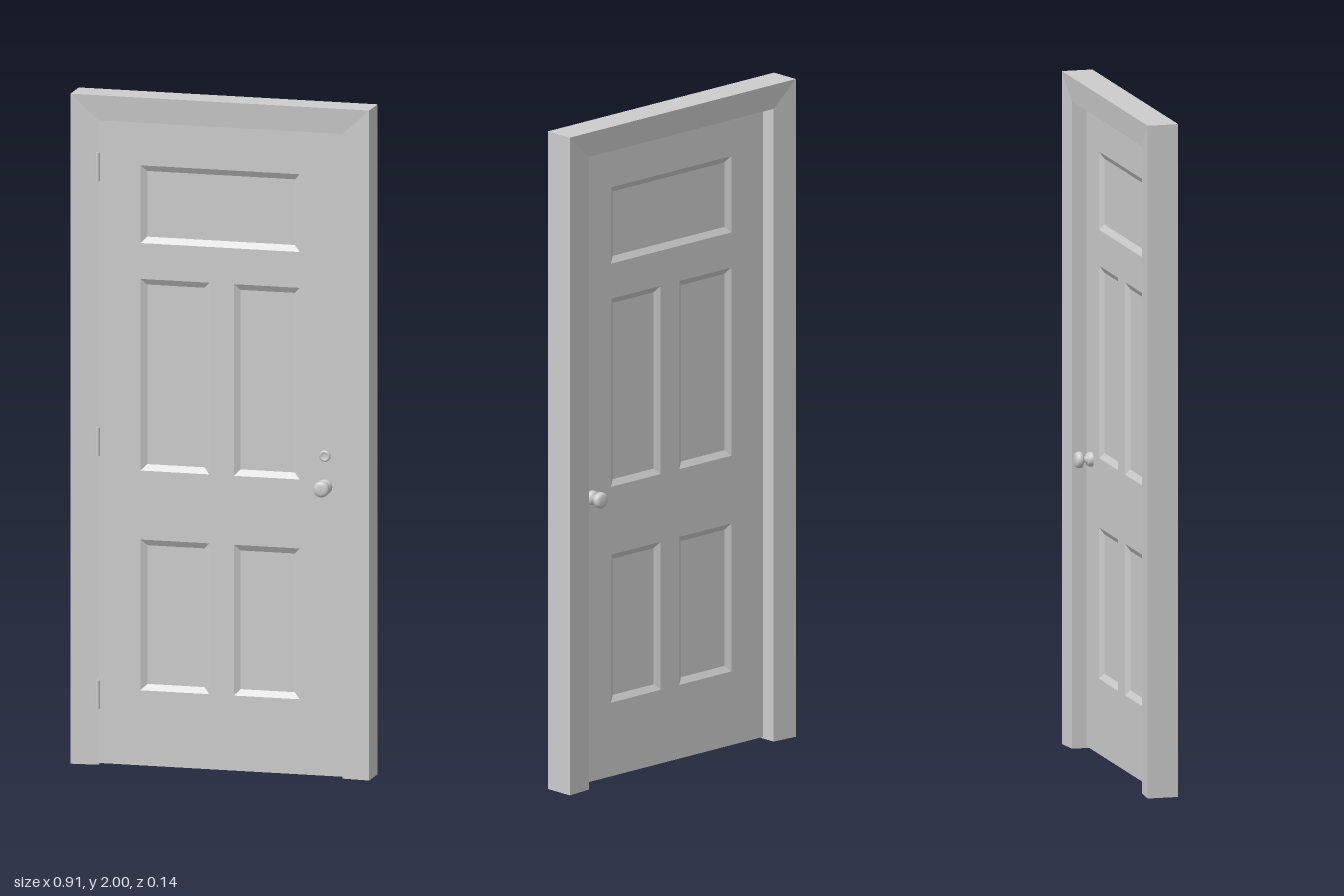
import * as THREE from 'three';

const paint = new THREE.MeshStandardMaterial({ color: 0xcccccc });
paint.name = 'pale grey paint';

const OPEN_X = 0.37, OPEN_Y = 1.924;          // door opening
const OUT_X = 0.453, OUT_Y = 2;               // outside of the frame
const DOOR_FRONT = 0.014, DOOR_BACK = -0.018;
const DOOR_BOTTOM = 0.005;
const BEVEL = 0.018, RECESS = 0.011;

function add(parent, name, geometry) {
  const mesh = new THREE.Mesh(geometry, paint);
  mesh.name = name;
  parent.add(mesh);
  return mesh;
}

// Flat-shaded geometry from a list of points, three per triangle
function fromTriangles(points) {
  const g = new THREE.BufferGeometry();
  g.setAttribute('position', new THREE.Float32BufferAttribute(points.flat(), 3));
  g.computeVertexNormals();
  return g;
}
const quad = (a, b, c, d) => [a, b, c, a, c, d];

// Mitred casing: a four-point section swept up, across and down
function frameGeometry() {
  const station = (side, top) => {
    const o = [side * OUT_X, top ? OUT_Y : 0], i = [side * OPEN_X, top ? OPEN_Y : 0];
    return [[...o, 0.023], [...i, 0.016], [...i, -0.063], [...o, -0.07]];
  };
  const s = [station(-1, false), station(-1, true), station(1, true), station(1, false)];
  const tris = [];
  for (let k = 0; k < 3; k++) {
    for (let i = 0; i < 4; i++) {
      const j = (i + 1) % 4;
      tris.push(...quad(s[k][i], s[k][j], s[k + 1][j], s[k + 1][i]));
    }
  }
  tris.push(...quad(...[...s[0]].reverse()), ...quad(...s[3]));   // feet
  return fromTriangles(tris);
}

// Counter-clockwise corners of a rectangle
const corners = (x0, x1, y0, y1, z) => [[x0, y0, z], [x1, y0, z], [x1, y1, z], [x0, y1, z]];

// Door face with sunk, bevelled panels
function faceTriangles() {
  const panels = [[-0.243, 0.24, 1.564, 1.796]];
  for (const [y0, y1] of [[0.885, 1.457], [0.229, 0.679]]) {
    panels.push([-0.243, -0.034, y0, y1], [0.04, 0.24, y0, y1]);
  }
  const toPoints = (c) => c.map(([x, y]) => new THREE.Vector2(x, y));
  const shape = new THREE.Shape(toPoints(corners(-OPEN_X, OPEN_X, DOOR_BOTTOM, OPEN_Y, 0)));
  const tris = [];
  for (const [x0, x1, y0, y1] of panels) {
    const o = corners(x0, x1, y0, y1, DOOR_FRONT);
    const n = corners(x0 + BEVEL, x1 - BEVEL, y0 + BEVEL, y1 - BEVEL, DOOR_FRONT - RECESS);
    shape.holes.push(new THREE.Path(toPoints(o).reverse()));
    for (let i = 0; i < 4; i++) {
      const j = (i + 1) % 4;
      tris.push(...quad(o[i], o[j], n[j], n[i]));
    }
    tris.push(...quad(...n));
  }
  const p = new THREE.ShapeGeometry(shape).toNonIndexed().attributes.position;
  for (let i = 0; i < p.count; i++) tris.push([p.getX(i), p.getY(i), DOOR_FRONT]);
  return tris;
}

function doorGeometry() {
  const front = faceTriangles();
  // Mirrored copy for the back, with the corner order reversed
  const back = front.map(([x, y, z]) => [x, y, DOOR_FRONT + DOOR_BACK - z]).reverse();
  const f = corners(-OPEN_X, OPEN_X, DOOR_BOTTOM, OPEN_Y, DOOR_FRONT);
  const b = corners(-OPEN_X, OPEN_X, DOOR_BOTTOM, OPEN_Y, DOOR_BACK);
  const edges = [];
  for (let i = 0; i < 4; i++) {
    const j = (i + 1) % 4;
    edges.push(...quad(f[i], b[i], b[j], f[j]));
  }
  return fromTriangles([...front, ...back, ...edges]);
}

// Turned part whose axis points out of the door along +z
function turned(profile) {
  const g = new THREE.LatheGeometry(profile.map(([r, h]) => new THREE.Vector2(r, h)), 24);
  return g.rotateX(Math.PI / 2);
}

export function createModel() {
  const model = new THREE.Group();
  model.name = 'panelDoor';
  add(model, 'frame', frameGeometry());
  add(model, 'door', doorGeometry());

  // Hinges
  for (const y of [1.787, 0.967, 0.212]) {
    const hinge = new THREE.Group();
    hinge.name = 'hinge';
    hinge.position.set(-0.369, y, 0);
    add(hinge, 'hingeKnuckle', new THREE.CylinderGeometry(0.0065, 0.0065, 0.085, 12)).position.z = 0.0255;
    add(hinge, 'hingeLeaf', new THREE.BoxGeometry(0.006, 0.085, 0.016)).position.z = 0.015;
    model.add(hinge);
  }

  // Knobs on both faces: domed rose, thin neck, rounded grip
  const knob = turned([
    [0.022, 0], [0.021, 0.01], [0.017, 0.015], [0.009, 0.018], [0.008, 0.024],
    [0.011, 0.028], [0.02, 0.029], [0.0235, 0.032], [0.024, 0.037], [0.0235, 0.044],
    [0.02, 0.049], [0.013, 0.0515], [0, 0.052],
  ]);
  add(model, 'frontKnob', knob).position.set(0.317, 0.868, DOOR_FRONT);
  const backKnob = add(model, 'backKnob', knob);
  backKnob.position.set(0.317, 0.868, DOOR_BACK);
  backKnob.rotation.y = Math.PI;

  // Lock above the front knob, with a small key slot plate
  const lock = add(model, 'lock', turned([
    [0.017, 0], [0.017, 0.004], [0.015, 0.007], [0.011, 0.008], [0.009, 0.005], [0, 0.005],
  ]));
  lock.position.set(0.317, 0.96, DOOR_FRONT);
  add(lock, 'keySlot', new THREE.BoxGeometry(0.002, 0.01, 0.002)).position.z = 0.006;
  return model;
}
